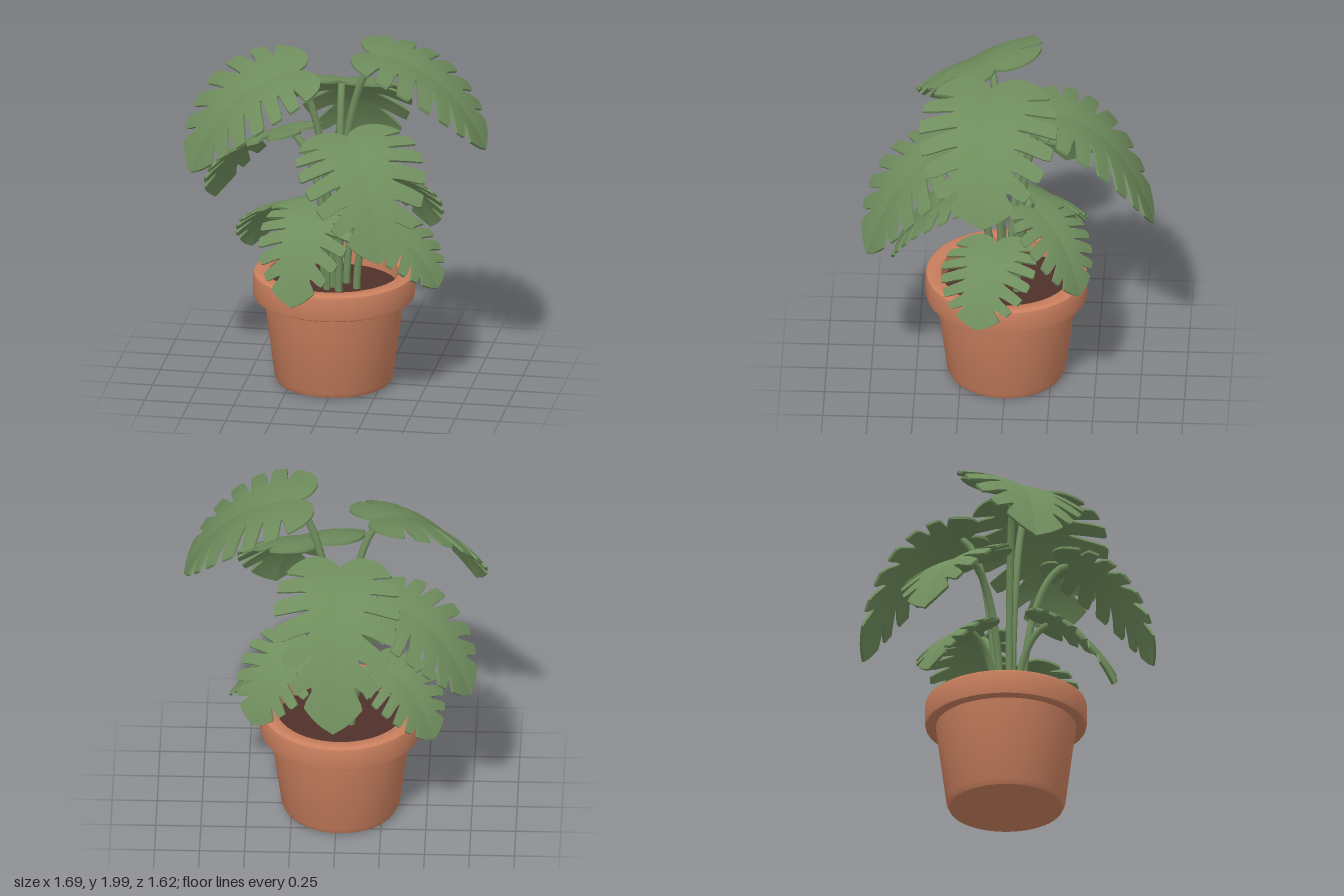
import * as THREE from 'three';
import { mergeGeometries, toCreasedNormals } from 'three/addons/utils/BufferGeometryUtils.js';

const V = (x, y, z) => new THREE.Vector3(x, y, z);

// Half outline of a leaf, from the notch at the stalk round to the tip (x across, z along)
const OUTLINE = new THREE.CatmullRomCurve3([
  [0, -0.02], [0.05, -0.08], [0.17, -0.12], [0.31, -0.08], [0.43, 0.06], [0.487, 0.25],
  [0.482, 0.45], [0.425, 0.65], [0.31, 0.83], [0.145, 0.96], [0, 1.02],
].map(([x, z]) => V(x, 0, z)));
// Slits: place along the outline and depth
const SLITS = [[0.32, 0.4], [0.425, 0.5], [0.53, 0.56], [0.635, 0.55], [0.735, 0.5], [0.825, 0.4]];
const ROWS = 120, COLS = 4, THICK = 0.014;

// How far a rib reaches towards the outline: short inside a slit
function reach(s) {
  let r = 1;
  for (const [at, depth] of SLITS) {
    const d = Math.abs(s - at) / 0.024;
    if (d < 1) r = Math.min(r, 1 - depth * (1 - THREE.MathUtils.smoothstep(d, 0.1, 1)));
  }
  return r;
}

// Drooping split leaf: ribs fan out from a curved midrib, closed top and bottom
function leafGeometry(base, tip, width, drop, roll) {
  const dir = V(tip.x - base.x, 0, tip.z - base.z);
  const bend = base.clone().addScaledVector(dir, 0.68);
  bend.y -= drop;
  const midrib = new THREE.QuadraticBezierCurve3(base, bend, tip);
  const level = V(dir.z, 0, -dir.x).normalize();

  const place = (x, z, lift) => {
    const t = THREE.MathUtils.clamp(z, 0, 1);
    const slope = bend.clone().sub(base).multiplyScalar(2 * (1 - t))
      .addScaledVector(tip.clone().sub(bend), 2 * t);
    const across = level.clone().applyAxisAngle(slope.clone().normalize(), roll);
    const normal = slope.clone().cross(across).normalize();
    const a = Math.abs(x);
    const cup = 0.14 * a - 0.42 * a * a;
    return midrib.getPoint(t).addScaledVector(slope, z - t)
      .addScaledVector(across, x * width).addScaledVector(normal, cup * width + lift);
  };

  const halves = [1, -1].map((side) => {
    const pos = [], index = [], ring = 2 * COLS + 2;
    for (let i = 0; i <= ROWS; i++) {
      const s = i / ROWS, edge = OUTLINE.getPointAt(s), r = reach(s);
      const root = 0.97 * Math.pow(s, 1.9);
      for (let j = 0; j < ring; j++) {
        const top = j <= COLS;
        const t = (top ? j : ring - 1 - j) / COLS * r;
        const p = place(side * edge.x * t, root + (edge.z - root) * t, top ? THICK / 2 : -THICK / 2);
        pos.push(p.x, p.y, p.z);
      }
    }
    for (let i = 0; i < ROWS; i++) for (let j = 0; j < ring - 1; j++) {
      const a = i * ring + j, b = a + 1, c = a + ring, d = c + 1;
      if (side > 0) index.push(a, c, b, b, c, d);
      else index.push(a, b, c, b, d, c);
    }
    const g = new THREE.BufferGeometry();
    g.setAttribute('position', new THREE.Float32BufferAttribute(pos, 3));
    g.setIndex(index);
    return toCreasedNormals(g, 0.8);
  });
  return mergeGeometries(halves);
}

// Stalk rising from the soil and arching over into the leaf base
function stalkGeometry(foot, base, tip) {
  const out = V(tip.x - base.x, 0, tip.z - base.z).normalize();
  const h = base.y - foot.y;
  const path = new THREE.CubicBezierCurve3(
    foot,
    V(foot.x, foot.y + h * 0.5, foot.z),
    V(foot.x + (base.x - foot.x) * 0.4, foot.y + h * 0.93, foot.z + (base.z - foot.z) * 0.4),
    base.clone().addScaledVector(out, 0.03).add(V(0, -0.012, 0)),
  );
  return new THREE.TubeGeometry(path, 20, 0.021, 8);
}

export function createModel() {
  const material = (name, color) => {
    const m = new THREE.MeshStandardMaterial({ color });
    m.name = name;
    return m;
  };
  const terracotta = material('terracotta', 0xc97f5e);
  const soilBrown = material('soilBrown', 0x50302a);
  const leafGreen = material('leafGreen', 0x6f8d5d);

  const model = new THREE.Group();
  model.name = 'pottedPlant';
  const add = (parent, name, geometry, mat) => {
    const mesh = new THREE.Mesh(geometry, mat);
    mesh.name = name;
    parent.add(mesh);
    return mesh;
  };

  // Pot with a thick rolled rim
  const profile = [
    [0, 0], [0.29, 0], [0.315, 0.01], [0.33, 0.04], [0.39, 0.505], [0.43, 0.5], [0.446, 0.508],
    [0.45, 0.525], [0.45, 0.625], [0.445, 0.645], [0.43, 0.655], [0.375, 0.655], [0.362, 0.645], [0.355, 0.53],
  ].map(([x, y]) => new THREE.Vector2(x, y));
  add(model, 'pot', toCreasedNormals(new THREE.LatheGeometry(profile, 48), 0.7), terracotta).position.x = -0.02;

  // Soil
  const soil = add(model, 'soil', new THREE.CylinderGeometry(0.36, 0.35, 0.04, 40), soilBrown);
  soil.position.set(-0.02, 0.54, 0);

  // Leaves: name, stalk foot x/z, leaf base, leaf tip, width, drop of the midrib's bend, sideways roll
  const leaves = [
    ['topLeft', [0.0, 0.03], [0.22, 1.965, 0.07], [0.84, 1.47, 0.1], 0.78, 0.05, 0],
    ['topRight', [-0.03, 0.02], [-0.22, 1.84, 0.08], [-0.76, 1.32, 0.33], 0.74, 0.03, -0.2],
    ['upperFront', [0.02, 0.08], [0.11, 1.54, 0.29], [0.36, 1.0, 0.75], 0.72, 0.05, 0.1],
    ['upperBack', [0.0, -0.06], [-0.02, 1.69, -0.22], [0, 1.02, -0.81], 0.71, 0.05, 0],
    ['middleRight', [-0.06, -0.02], [-0.26, 1.42, -0.12], [-0.74, 0.95, -0.3], 0.62, 0.04, 0.1],
    ['middleBack', [0.04, -0.06], [0.18, 1.17, -0.17], [0.45, 0.8, -0.42], 0.5, 0.05, -0.2],
    ['lowFront', [-0.05, 0.06], [-0.08, 1.09, 0.23], [-0.15, 0.66, 0.63], 0.54, 0.05, 0],
    ['lowLeft', [0.11, 0.02], [0.21, 0.96, 0.05], [0.58, 0.64, 0.14], 0.55, 0.06, 0.1],
    ['lowRight', [-0.08, -0.04], [-0.24, 1.0, -0.13], [-0.54, 0.66, -0.32], 0.5, 0.04, 0.1],
  ];
  for (const [name, [fx, fz], b, t, width, drop, roll] of leaves) {
    const base = V(...b), tip = V(...t);
    const frond = new THREE.Group();
    frond.name = name + 'Frond';
    add(frond, name + 'Stalk', stalkGeometry(V(fx, 0.53, fz), base, tip), leafGreen);
    add(frond, name + 'Leaf', leafGeometry(base, tip, width, drop, roll), leafGreen);
    model.add(frond);
  }
  return model;
}
